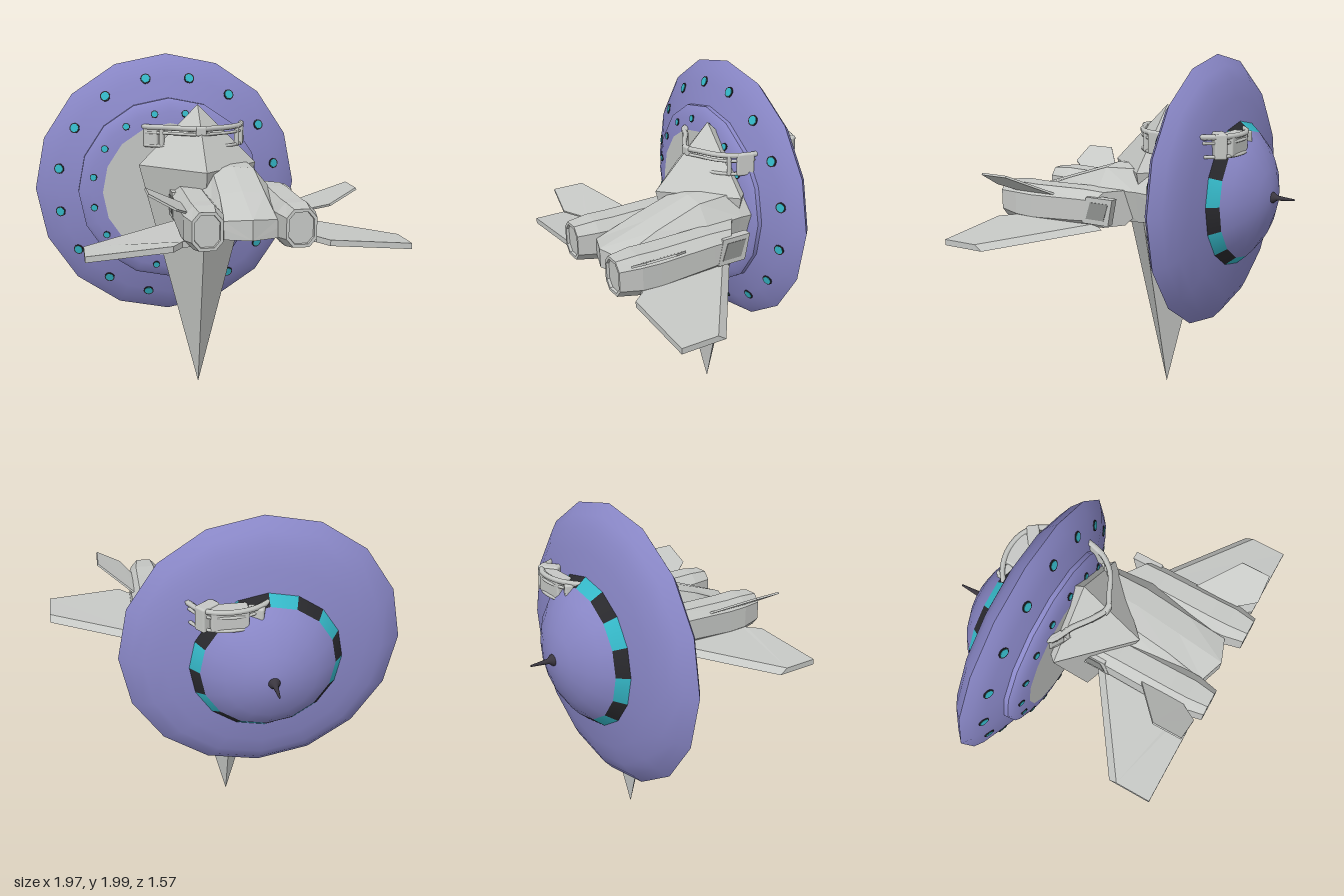
import * as THREE from 'three';
import { RoundedBoxGeometry } from 'three/addons/geometries/RoundedBoxGeometry.js';

const mat = (name, color, side = THREE.FrontSide) => {
  const m = new THREE.MeshStandardMaterial({ color, side });
  m.name = name;
  return m;
};

// Flat-faced solid through rings of points; each ring runs counterclockwise seen from the next one.
// side -1 mirrors the solid in x.
function loft(rings, side = 1) {
  const R = rings.map(r => {
    const q = r.map(p => [p[0] * side, p[1], p[2]]);
    return side < 0 ? q.reverse() : q;
  });
  const pos = [], n = R[0].length;
  const tri = (a, b, c) => pos.push(...a, ...b, ...c);
  for (let i = 0; i < R.length - 1; i++) {
    for (let j = 0; j < n; j++) {
      const k = (j + 1) % n;
      tri(R[i][j], R[i][k], R[i + 1][k]);
      tri(R[i][j], R[i + 1][k], R[i + 1][j]);
    }
  }
  const first = R[0], last = R[R.length - 1];
  for (let j = 1; j < n - 1; j++) {
    tri(first[0], first[j + 1], first[j]);
    tri(last[0], last[j], last[j + 1]);
  }
  const g = new THREE.BufferGeometry();
  g.setAttribute('position', new THREE.Float32BufferAttribute(pos, 3));
  g.computeVertexNormals();
  return g;
}

const flat = g => {
  const f = g.toNonIndexed();
  f.computeVertexNormals();
  return f;
};

export function createModel() {
  const grey = mat('light grey', 0xc6c8c5);
  const darkGrey = mat('intake grey', 0x8f918f);
  const purple = mat('purple hull', 0x8a88c8);
  const cyan = mat('cyan glass', 0x35b8c8);
  const black = mat('black trim', 0x29292d);
  const dark = mat('antenna dark', 0x3a363f);

  const root = new THREE.Group();
  const add = (parent, name, geo, material, x = 0, y = 0, z = 0) => {
    const m = new THREE.Mesh(geo, material);
    m.name = name;
    m.position.set(x, y, z);
    parent.add(m);
    return m;
  };

  // ---- Saucer, turned so its dome faces -z ----
  const saucer = new THREE.Group();
  saucer.name = 'saucer';
  saucer.rotation.x = -Math.PI / 2;
  saucer.position.set(-0.195, 1.21, 0);
  root.add(saucer);
  const SIDES = 16, STEP = Math.PI * 2 / SIDES;
  const lathe = (name, pts, material, start = 0, count = SIDES) =>
    add(saucer, name, new THREE.LatheGeometry(pts.map(p => new THREE.Vector2(...p)),
      count, start * STEP, count * STEP), material);

  lathe('bellyDisc', [[0, 0.09], [0.4, 0.09]], grey);
  lathe('bellySkirt', [[0.4, 0.09], [0.47, 0.103], [0.52, 0.125], [0.54, 0.145]], purple);
  lathe('bellyStep', [[0.54, 0.145], [0.54, 0.18]], purple);
  lathe('lowerHull', [[0.53, 0.167], [0.66, 0.21], [0.74, 0.25], [0.79, 0.29]], purple);
  lathe('upperHull', [[0.79, 0.29], [0.73, 0.345], [0.66, 0.385], [0.55, 0.418], [0.42, 0.44]], purple);
  for (let k = 0; k < SIDES; k++) {
    lathe('windowBand', [[0.42, 0.44], [0.37, 0.5]], k % 2 ? cyan : black, k, 1);
  }
  lathe('dome', [[0.37, 0.5], [0.32, 0.545], [0.25, 0.59], [0.155, 0.63], [0.07, 0.65], [0, 0.655]], purple);
  lathe('antenna', [[0.035, 0.64], [0.03, 0.662], [0.015, 0.68], [0.011, 0.72], [0.005, 0.785], [0, 0.785]], dark);

  // Two rings of portholes
  const up = new THREE.Vector3(0, 1, 0);
  for (const [r, h, nr, ny, size] of [[0.66, 0.216, 0.4, -0.92, 0.031], [0.46, 0.103, 0.25, -0.97, 0.022]]) {
    for (let k = 0; k < SIDES; k++) {
      const a = (k + 0.5) * STEP, s = Math.sin(a), c = Math.cos(a);
      const port = new THREE.Group();
      port.name = 'porthole';
      port.position.set(r * s, h, r * c);
      port.quaternion.setFromUnitVectors(up, new THREE.Vector3(nr * s, ny, nr * c).normalize());
      saucer.add(port);
      add(port, 'portholeRim', new THREE.CylinderGeometry(size, size, 0.008, 12), black);
      add(port, 'portholeGlass', new THREE.CylinderGeometry(size * 0.78, size * 0.78, 0.0095, 12), cyan, 0, 0.001, 0);
    }
  }

  // ---- Long four-sided crystal ----
  add(root, 'crystalTop', flat(new THREE.ConeGeometry(0.345, 0.345, 4, 1, true)), grey, -0.04, 1.5475, -0.055);
  add(root, 'crystalSpike', flat(new THREE.ConeGeometry(0.345, 1.365, 4, 1, true)), grey, -0.04, 0.6925, -0.055)
    .rotation.x = Math.PI;

  // ---- Jet, tail towards +z ----
  const jet = new THREE.Group();
  jet.name = 'jet';
  jet.position.x = 0.125;
  root.add(jet);

  // Fuselage: narrow and low between the nozzles, humped further forward
  const body = (z, low, wide, midY, top, topY, notch) => [
    [0, low, z + notch], [0.145, low, z], [wide, midY, z], [top, topY - 0.012, z],
    [0, topY, z + notch], [-top, topY - 0.012, z], [-wide, midY, z], [-0.145, low, z]];
  add(jet, 'fuselage', loft([
    body(-0.3, 1.12, 0.17, 1.25, 0.09, 1.37, 0),
    body(-0.05, 1.09, 0.19, 1.27, 0.115, 1.4, 0),
    body(0.18, 1.08, 0.21, 1.27, 0.12, 1.39, 0),
    body(0.45, 1.08, 0.17, 1.22, 0.125, 1.3, 0),
    body(0.68, 1.095, 0.145, 1.15, 0.14, 1.205, 0.05)]), grey);

  // Engine nacelle ring; slant sweeps the intake back towards the wing
  const octagon = (z, w, h, cy, slant = 0) => {
    const a = w * 0.52, b = h * 0.55;
    return [[w, -b], [w, b], [a, h], [-a, h], [-w, b], [-w, -b], [-a, -h], [a, -h]]
      .map(([x, y]) => [0.243 + x, cy + y, z + slant * x]);
  };
  for (const s of [1, -1]) {
    add(jet, 'engineNacelle', loft([
      octagon(0.05, 0.1, 0.1, 1.175, 0.7),
      octagon(0.22, 0.102, 0.11, 1.17),
      octagon(0.55, 0.105, 0.118, 1.155),
      octagon(0.66, 0.105, 0.116, 1.16),
      octagon(0.78, 0.08, 0.1, 1.165),
      octagon(0.78, 0.066, 0.084, 1.165),
      octagon(0.765, 0.064, 0.082, 1.165)], s), grey);

    // Intake cheek with a darker panel
    const cheek = (x, m) => [[x, 1.1 + m, 0.2 - m], [x, 1.1 + m, 0.03 + m],
      [x, 1.25 - m, 0.0 + m], [x, 1.25 - m, 0.17 - m]];
    add(jet, 'intakeCheek', loft([cheek(0.3, 0), cheek(0.346, 0)], s), grey);
    add(jet, 'intakePanel', loft([cheek(0.345, 0.027), cheek(0.349, 0.027)], s), darkGrey);

    // Wing with bevelled leading edge
    const wing = (dy, dz) => [[0.3, 1.06 + dy, 0.1 + dz], [0.3, 1.06 + dy, 0.66],
      [0.355, 1.06 + dy, 0.67], [0.41, 1.055 + dy, 0.74], [0.855, 1.02 + dy, 0.74], [0.855, 1.02 + dy, 0.49 + dz]];
    add(jet, 'wing', loft([wing(0, 0), wing(0.032, 0.045)], s), grey);

    // Canted tail fin
    const fin = t => [[0.3, 1.22, 0.37], [0.3, 1.22, 0.65], [0.335, 1.24, 0.66],
      [0.395, 1.275, 0.75], [0.535, 1.355, 0.74], [0.535, 1.355, 0.57]]
      .map(([x, y, z]) => [x - 0.5 * t, y + 0.86 * t, z]);
    add(jet, 'tailFin', loft([fin(-0.006), fin(0.006)], s), grey);
  }

  // ---- Circlet passing through the saucer and around the crystal ----
  const circlet = new THREE.Group();
  circlet.name = 'circlet';
  root.add(circlet);
  const path = [[-0.35, -0.1], [-0.22, -0.02], [-0.12, 0.05], [-0.04, 0.085], [0.04, 0.05], [0.14, 0],
    [0.21, -0.08], [0.24, -0.17], [0.25, -0.3], [0.21, -0.43], [0.16, -0.5], [0.08, -0.54],
    [-0.05, -0.54], [-0.17, -0.48], [-0.3, -0.3]];
  for (const [y, r] of [[1.592, 0.016], [1.56, 0.009], [1.485, 0.01]]) {
    const curve = new THREE.CatmullRomCurve3(path.map(([x, z]) => new THREE.Vector3(x, y, z)), true);
    add(circlet, 'circletRail', new THREE.TubeGeometry(curve, 80, r, 6, true), grey);
  }
  // Side plates, front knob and rear clasp: x, y, z, width, height, depth, turn
  for (const [name, x, y, z, w, h, d, turn] of [
    ['sidePlate', -0.31, 1.54, -0.075, 0.09, 0.13, 0.03, -0.55],
    ['sidePlate', 0.23, 1.54, -0.13, 0.1, 0.13, 0.03, 1.3],
    ['sidePost', -0.25, 1.54, -0.04, 0.025, 0.13, 0.03, -0.55],
    ['sidePost', 0.19, 1.54, -0.05, 0.025, 0.13, 0.03, 0.7],
    ['frontKnob', -0.04, 1.58, 0.085, 0.06, 0.055, 0.03, 0],
    ['rearClasp', 0.02, 1.54, -0.5, 0.2, 0.12, 0.09, 0],
    ['rearClasp', 0.13, 1.54, -0.47, 0.12, 0.14, 0.07, 0.65],
    ['rearClasp', -0.12, 1.55, -0.5, 0.09, 0.08, 0.05, -0.4]]) {
    add(circlet, name, new RoundedBoxGeometry(w, h, d, 2, 0.012), grey, x, y, z).rotation.y = turn;
  }

  return root;
}
